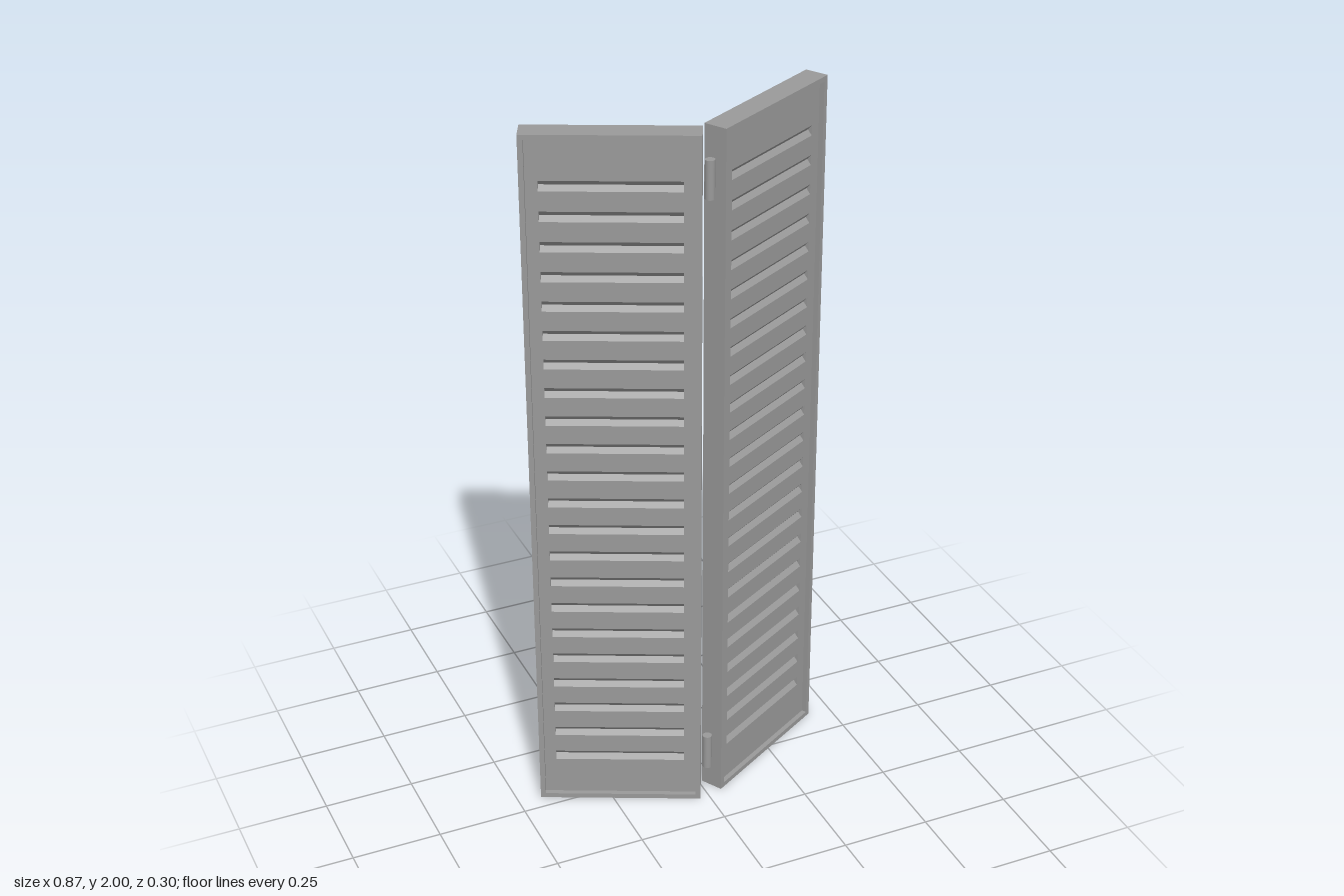
import * as THREE from 'three';

const W = 0.45, H = 2, T = 0.066;      // panel size
const RIM = 0.014, RECESS = 0.014;     // raised border
const VENT_W = 0.358, VENT_H = 0.028, VENT_D = 0.012, VENTS = 22;
const material = new THREE.MeshStandardMaterial({ color: 0x999999 });

function mesh(name, geometry) {
  const m = new THREE.Mesh(geometry, material);
  m.name = name;
  return m;
}

// Adds a rectangle centred on x = 0 to a shape or path
function rect(path, w, y0, y1) {
  path.moveTo(-w / 2, y0);
  path.lineTo(w / 2, y0);
  path.lineTo(w / 2, y1);
  path.lineTo(-w / 2, y1);
  path.closePath();
  return path;
}

function plate(w, y0, y1, holes, depth) {
  const shape = rect(new THREE.Shape(), w, y0, y1);
  for (const [hw, h0, h1] of holes) shape.holes.push(rect(new THREE.Path(), hw, h0, h1));
  return new THREE.ExtrudeGeometry(shape, { depth, bevelEnabled: false });
}

function createPanel(name) {
  const panel = new THREE.Group();
  panel.name = name;
  const faceZ = T / 2 - RECESS, ventZ = faceZ - VENT_D;

  // Solid back slab
  const slab = mesh('backSlab', plate(W, 0, H, [], ventZ + T / 2));
  slab.position.z = -T / 2;
  panel.add(slab);

  // Face sheet pierced by the vent slots
  const ventY = Array.from({ length: VENTS }, (_, i) => 0.138 + (i * 1.722) / (VENTS - 1));
  const slots = ventY.map((y) => [VENT_W, y - VENT_H / 2, y + VENT_H / 2]);
  const face = mesh('ventedFace', plate(W, 0, H, slots, VENT_D));
  face.position.z = ventZ;
  panel.add(face);

  // Raised border
  const border = mesh('border', plate(W, 0, H, [[W - 2 * RIM, RIM, H - RIM]], RECESS));
  border.position.z = faceZ;
  panel.add(border);

  // Louvre grooves: a shaded upper slope over a lit lower slope
  const section = new THREE.Shape([
    new THREE.Vector2(-0.002, -VENT_H / 2),
    new THREE.Vector2(VENT_D, -VENT_H / 2),
    new THREE.Vector2(0, 0),
    new THREE.Vector2(VENT_D, VENT_H / 2),
    new THREE.Vector2(-0.002, VENT_H / 2),
  ]);
  const groove = new THREE.ExtrudeGeometry(section, { depth: VENT_W, bevelEnabled: false });
  groove.translate(0, 0, -VENT_W / 2).rotateY(-Math.PI / 2);
  for (const y of ventY) {
    const louvre = mesh('louvre', groove);
    louvre.position.set(0, y, ventZ);
    panel.add(louvre);
  }
  return panel;
}

export function createModel() {
  const model = new THREE.Group();
  model.name = 'foldingShutter';

  // Two leaves folded away from the hinge line
  const left = createPanel('leftPanel');
  left.position.set(0.222, 0, -0.01);
  left.rotation.y = THREE.MathUtils.degToRad(30);
  const right = createPanel('rightPanel');
  right.position.set(-0.2175, 0, 0.023);
  right.rotation.y = THREE.MathUtils.degToRad(-25);
  model.add(left, right);

  // Hinge barrels
  const barrel = new THREE.CylinderGeometry(0.013, 0.013, 0.105, 24);
  for (const y of [0.133, 1.867]) {
    const hinge = mesh('hinge', barrel);
    hinge.position.set(0.009, y, 0.112);
    model.add(hinge);
  }
  return model;
}
